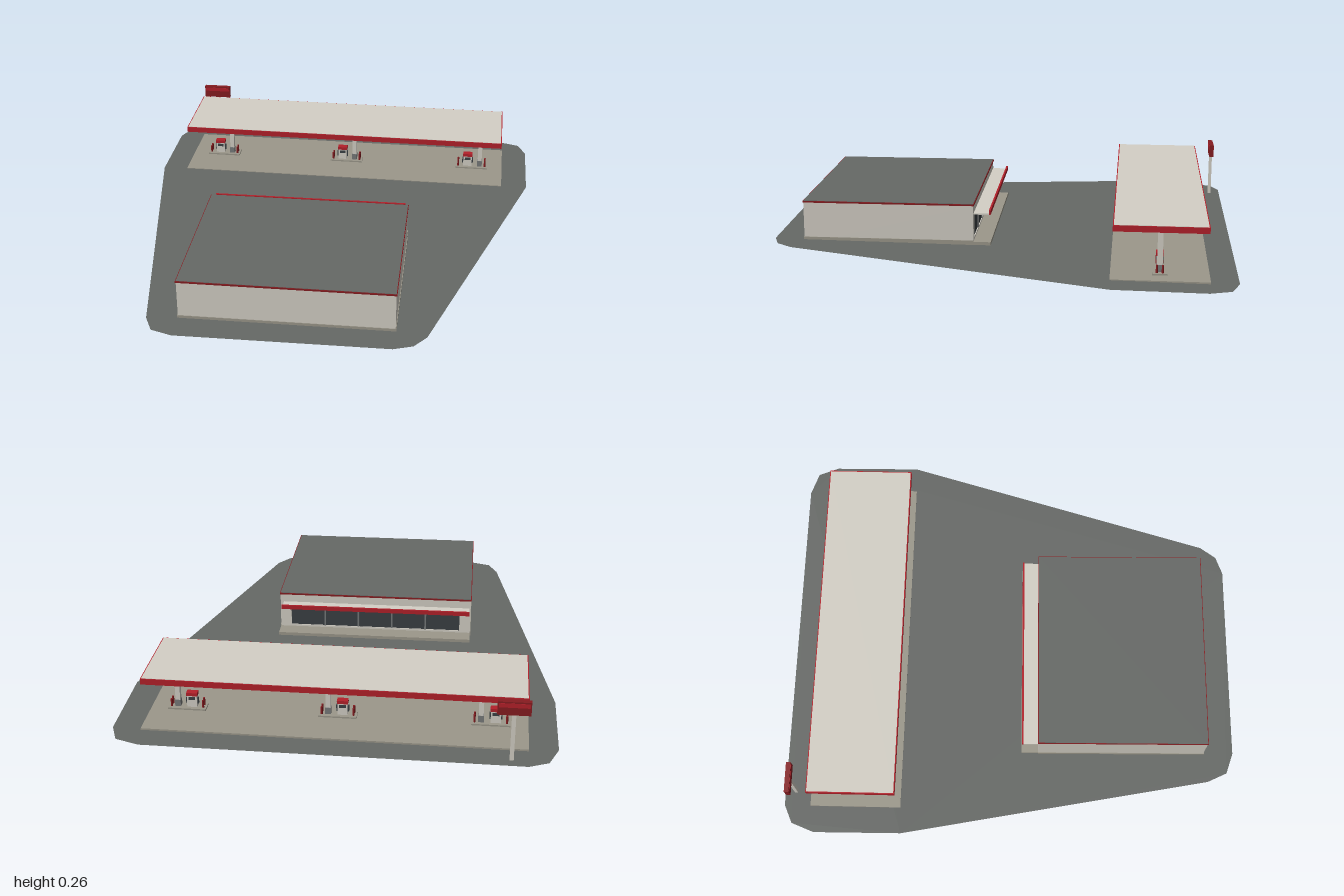
import * as THREE from 'three';

const mat = (name, color, side = THREE.FrontSide) => {
  const m = new THREE.MeshStandardMaterial({ color, side });
  m.name = name;
  return m;
};

export function createModel() {
  const asphalt = mat('asphalt', 0x666966, THREE.DoubleSide);
  const offWhite = mat('off white', 0xd4d0c6);
  const concrete = mat('concrete', 0x9c988b);
  const red = mat('red', 0xb4202a);
  const darkRed = mat('dark red', 0x861c20);
  const glass = mat('dark glass', 0x3a4044);
  const steel = mat('steel grey', 0x777a7a);

  const model = new THREE.Group();
  model.name = 'fillingStation';

  const group = (name, x, y, z, turn = 0) => {
    const g = new THREE.Group();
    g.name = name;
    g.position.set(x, y, z);
    g.rotation.y = turn;
    model.add(g);
    return g;
  };
  // Box given by its minimum and maximum on each axis
  const box = (parent, name, material, [x0, x1], [y0, y1], [z0, z1]) => {
    const m = new THREE.Mesh(new THREE.BoxGeometry(x1 - x0, y1 - y0, z1 - z0), material);
    m.name = name;
    m.position.set((x0 + x1) / 2, (y0 + y1) / 2, (z0 + z1) / 2);
    parent.add(m);
    return m;
  };
  const post = (parent, name, material, radius, x, [y0, y1], z) => {
    const m = new THREE.Mesh(new THREE.CylinderGeometry(radius, radius, y1 - y0, 10), material);
    m.name = name;
    m.position.set(x, (y0 + y1) / 2, z);
    parent.add(m);
  };

  // Forecourt: thin sheet rising gently towards the front
  const outline = [
    [-0.78, -1], [0.76, -0.99], [0.86, -0.955], [0.895, -0.865], [0.895, -0.48],
    [0.49, 0.89], [0.44, 0.96], [0.36, 0.99], [-0.52, 1], [-0.61, 0.97],
    [-0.65, 0.885], [-0.9, -0.48], [-0.9, -0.865], [-0.86, -0.965],
  ];
  const shape = new THREE.Shape(outline.map(([x, z]) => new THREE.Vector2(x, -z)));
  const ground = new THREE.ShapeGeometry(shape).rotateX(-Math.PI / 2);
  const p = ground.attributes.position;
  for (let i = 0; i < p.count; i++) p.setY(i, 0.0125 + 0.0105 * p.getZ(i));
  ground.computeVertexNormals();
  const forecourt = new THREE.Mesh(ground, asphalt);
  forecourt.name = 'forecourt';
  model.add(forecourt);

  // Shop, with the shop front facing the pumps
  const shop = group('shop', -0.083, 0, 0.493, 0.0075);
  const W = 0.442, D = 0.371, T = 0.01, H = 0.187;
  box(shop, 'frontWall', offWhite, [-W, W], [0, H], [D - T, D]);
  for (const s of [-1, 1]) {
    const x = s * (W - T / 2);
    box(shop, 'sideWall', offWhite, [x - T / 2, x + T / 2], [0, H], [-D, D - T]);
    const e = s * (W + 0.001);
    box(shop, 'sidePlinth', concrete, [e - 0.002, e + 0.002], [0.012, 0.033], [-D, D]);
  }
  box(shop, 'frontPlinth', concrete, [-W - 0.003, W + 0.003], [0.015, 0.033], [D - 0.001, D + 0.003]);
  box(shop, 'roofTrim', darkRed, [-W - 0.003, W + 0.003], [H, 0.194], [-D - 0.003, D + 0.003]);
  box(shop, 'roof', asphalt, [-W, W], [0.194, 0.1955], [-D, D]);

  // Shop front: lintel, sill, piers, glazing and mullions
  box(shop, 'lintel', offWhite, [-W + T, W - T], [0.135, H], [-D, -D + T]);
  box(shop, 'sill', offWhite, [-W + T, W - T], [0, 0.036], [-D, -D + T]);
  box(shop, 'glazing', glass, [-W + T, W - T], [0.036, 0.135], [-D + 0.004, -D + 0.008]);
  for (const s of [-1, 1]) {
    const x = s * (W - T - 0.02);
    box(shop, 'pier', offWhite, [x - 0.02, x + 0.02], [0.036, 0.135], [-D, -D + T]);
  }
  for (let i = 1; i < 5; i++) {
    const x = -0.39 + i * 0.156;
    box(shop, 'mullion', steel, [x - 0.004, x + 0.004], [0.036, 0.135], [-D - 0.001, -D + 0.006]);
  }
  box(shop, 'awning', offWhite, [-W + 0.005, W - 0.015], [0.145, 0.151], [-D - 0.066, -D]);
  box(shop, 'awningFascia', red, [-W + 0.005, W - 0.015], [0.145, 0.164], [-D - 0.074, -D - 0.066]);
  box(shop, 'walkway', concrete, [-W, W], [0.004, 0.027], [-D - 0.075, -D]);

  // Pump apron and canopy
  const apron = group('pumpArea', -0.004, 0, -0.68, -0.006);
  box(apron, 'apron', concrete, [-0.78, 0.78], [0.001, 0.0105], [-0.2, 0.2]);
  box(apron, 'canopyFascia', red, [-0.77, 0.77], [0.206, 0.231], [-0.191, 0.191]);
  box(apron, 'canopyTop', offWhite, [-0.766, 0.766], [0.23, 0.2325], [-0.187, 0.187]);
  box(apron, 'canopySoffit', offWhite, [-0.764, 0.764], [0.2045, 0.207], [-0.185, 0.185]);

  // Three islands, each with a pump, a canopy column and end bollards
  for (const x of [-0.627, 0, 0.629]) {
    const island = new THREE.Group();
    island.name = 'pumpIsland';
    island.position.x = x;
    apron.add(island);
    box(island, 'kerb', concrete, [-0.08, 0.08], [0, 0.017], [-0.03, 0.03]);
    box(island, 'column', offWhite, [0.03, 0.05], [0.017, 0.206], [-0.011, 0.011]);
    box(island, 'columnBase', steel, [0.028, 0.052], [0.017, 0.046], [-0.013, 0.013]);
    box(island, 'pumpBody', offWhite, [-0.041, 0.001], [0.017, 0.068], [-0.013, 0.013]);
    box(island, 'pumpCap', red, [-0.043, 0.003], [0.068, 0.082], [-0.015, 0.015]);
    for (const s of [-1, 1]) {
      const z = s * 0.0135;
      box(island, 'pumpScreen', glass, [-0.034, -0.006], [0.05, 0.063], [z - 0.001, z + 0.001]);
      const hx = -0.02 + s * 0.0235;
      box(island, 'pumpNozzle', glass, [hx - 0.003, hx + 0.003], [0.03, 0.058], [-0.005, 0.005]);
      post(island, 'bollard', darkRed, 0.0045, s * 0.066, [0.017, 0.05], 0.012);
      post(island, 'bollard', darkRed, 0.0045, s * 0.066, [0.017, 0.05], -0.012);
    }
  }

  // Roadside sign on a pole
  const sign = group('roadSign', -0.714, 0, -0.952);
  box(sign, 'signPole', offWhite, [-0.008, 0.008], [0, 0.205], [-0.007, 0.007]);
  box(sign, 'signPanel', darkRed, [-0.065, 0.065], [0.203, 0.26], [-0.01, 0.01]);
  for (const s of [-1, 1])
    box(sign, 'signStripe', red, [-0.06, 0.06], [0.236, 0.254], [s * 0.0105 - 0.001, s * 0.0105 + 0.001]);

  return model;
}
